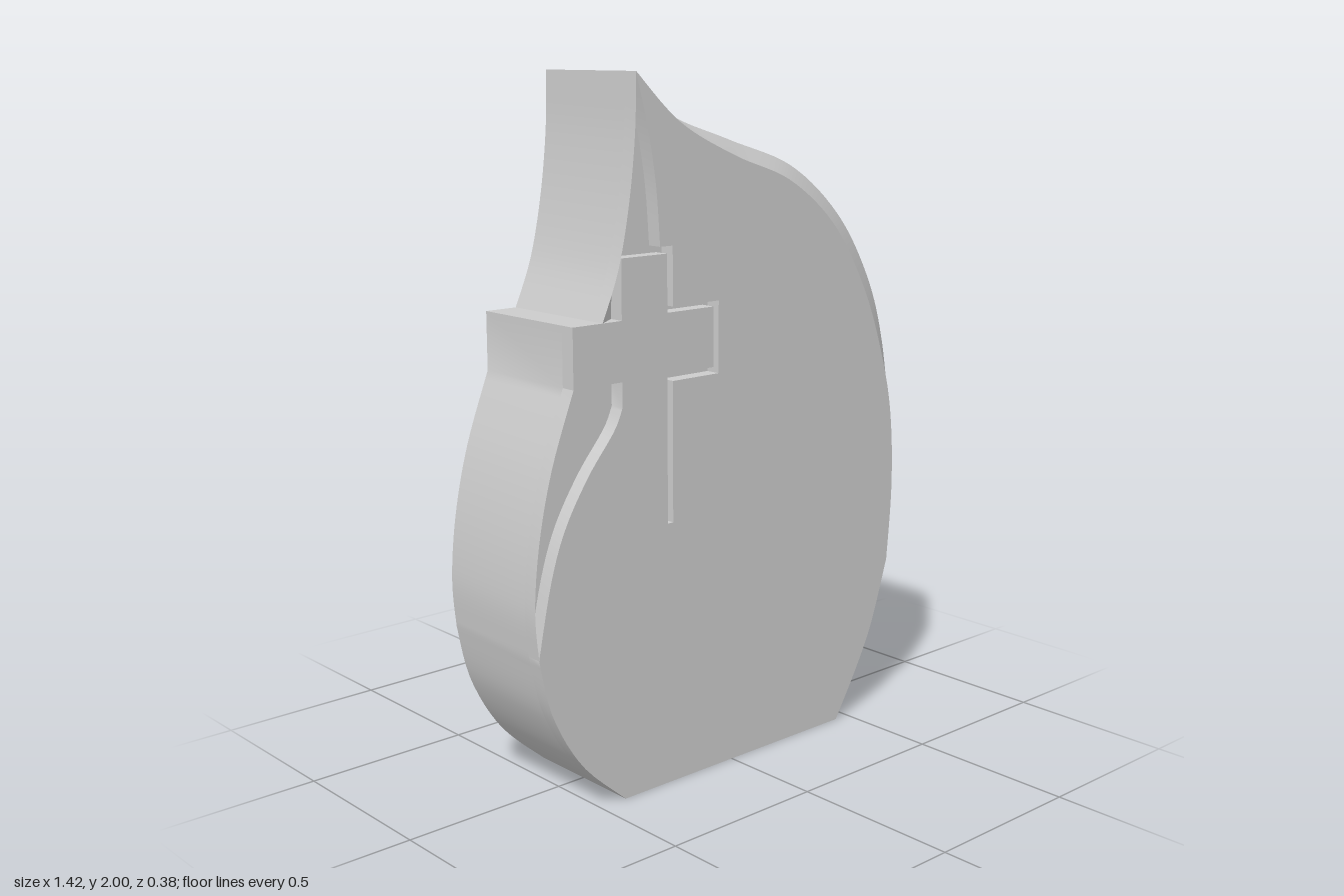
import * as THREE from 'three';
import { toCreasedNormals } from 'three/addons/utils/BufferGeometryUtils.js';

const BACK = -0.19, FLOOR = 0.145, FRONT = 0.19;

const pts = (list) => list.map(([x, y]) => new THREE.Vector2(x, y));
const curve = (list, n) => new THREE.SplineCurve(pts(list)).getPoints(n);

// Ruled surface between two matching rows of points at two depths
function ruled(a, za, b, zb, closed = false) {
  const pos = [], n = a.length;
  const put = (p, z) => pos.push(p.x, p.y, z);
  for (let i = 0; i < (closed ? n : n - 1); i++) {
    const j = (i + 1) % n;
    put(a[i], za); put(a[j], za); put(b[j], zb);
    put(a[i], za); put(b[j], zb); put(b[i], zb);
  }
  return pos;
}

// Flat face filling an outline
function cap(loop, z, front) {
  const pos = [];
  for (const t of THREE.ShapeUtils.triangulateShape(loop, [])) {
    const [a, b, c] = t.map((i) => loop[i]);
    const ccw = (b.x - a.x) * (c.y - a.y) - (b.y - a.y) * (c.x - a.x) > 0;
    for (const p of ccw === front ? [a, b, c] : [a, c, b]) pos.push(p.x, p.y, z);
  }
  return pos;
}

function addMesh(group, name, positions, side = THREE.FrontSide) {
  let g = new THREE.BufferGeometry();
  g.setAttribute('position', new THREE.Float32BufferAttribute(positions, 3));
  g = toCreasedNormals(g, 0.5);
  const mesh = new THREE.Mesh(g, new THREE.MeshStandardMaterial({ color: 0xcccccc, side }));
  mesh.name = name;
  group.add(mesh);
}

export function createModel() {
  const group = new THREE.Group();
  group.name = 'flameHeadstone';

  // Outline, counter-clockwise from the base
  const rightLow = curve([[0.45, 0], [0.535, 0.14], [0.605, 0.28], [0.67, 0.48]], 12);
  const rightHigh = curve([[0.67, 0.48], [0.705, 0.72], [0.705, 0.96], [0.675, 1.17], [0.605, 1.37],
    [0.47, 1.57], [0.27, 1.725], [0.02, 1.81], [-0.2, 1.885], [-0.355, 2]], 64);
  const rightInset = curve([[0.67, 0.48], [0.686, 0.72], [0.672, 0.95], [0.625, 1.14], [0.54, 1.35],
    [0.405, 1.55], [0.22, 1.69], [0, 1.77], [-0.2, 1.865], [-0.355, 2]], 64);
  const leftHigh = curve([[-0.355, 2], [-0.36, 1.84], [-0.382, 1.66], [-0.42, 1.49], [-0.475, 1.355]], 24);
  const leftMid = curve([[-0.575, 1.19], [-0.65, 0.99], [-0.695, 0.8], [-0.713, 0.62], [-0.703, 0.48]], 24);
  const leftLow = curve([[-0.703, 0.48], [-0.66, 0.31], [-0.56, 0.14], [-0.41, 0]], 16);
  const arm = pts([[-0.575, 1.355]]);

  // Stone body behind the carved layer
  const body = [...rightLow, ...rightHigh.slice(1), ...leftHigh.slice(1), ...arm, ...leftMid, ...leftLow.slice(1)];
  addMesh(group, 'stoneBody', [
    ...cap(body, BACK, false), ...cap(body, FLOOR, true), ...ruled(body, BACK, body, FLOOR, true)]);

  // Front layer: groove beside the cross, then the cross, then the sweep of the lower flame
  const groove = pts([[-0.275, 1.54], [-0.23, 1.54], [-0.23, 1.375], [-0.06, 1.375], [-0.06, 1.17],
    [-0.23, 1.17], [-0.23, 0.77], [-0.25, 0.77]]);
  const cross = pts([[-0.25, 1.19], [-0.08, 1.19], [-0.08, 1.36], [-0.25, 1.36], [-0.25, 1.52],
    [-0.41, 1.52], [-0.41, 1.355], [-0.575, 1.355], [-0.575, 1.19], [-0.41, 1.19]]);
  const tipCrease = curve([[-0.355, 2], [-0.315, 1.85], [-0.288, 1.7], [-0.275, 1.54]], 12).slice(1, -1);
  const sweep = curve([[-0.41, 1.12], [-0.44, 1.06], [-0.53, 0.95], [-0.61, 0.82], [-0.66, 0.68], [-0.703, 0.48]], 24);
  const rest = [...tipCrease, ...groove, ...cross, ...sweep, ...leftLow.slice(1)];
  const lower = [...rightLow, ...rightHigh.slice(1), ...rest];
  const upper = [...rightLow, ...rightInset.slice(1), ...rest];
  addMesh(group, 'frontLayerWithCross', [
    ...cap(upper, FRONT, true), ...ruled(lower, FLOOR, upper, FRONT, true)]);

  // Thin sloping rims along the left edge of the sunken panels
  const innerHigh = curve([[-0.355, 2], [-0.354, 1.84], [-0.37, 1.66], [-0.4, 1.52], [-0.41, 1.355]], 24);
  const innerMid = curve([[-0.572, 1.19], [-0.637, 0.99], [-0.68, 0.8], [-0.7, 0.62], [-0.703, 0.48]], 24);
  for (const [name, outer, inner] of [['upperRim', leftHigh, innerHigh], ['lowerRim', leftMid, innerMid]]) {
    addMesh(group, name, [
      ...ruled(outer, FLOOR, outer, FRONT), ...ruled(outer, FRONT, inner, FLOOR)], THREE.DoubleSide);
  }
  return group;
}
